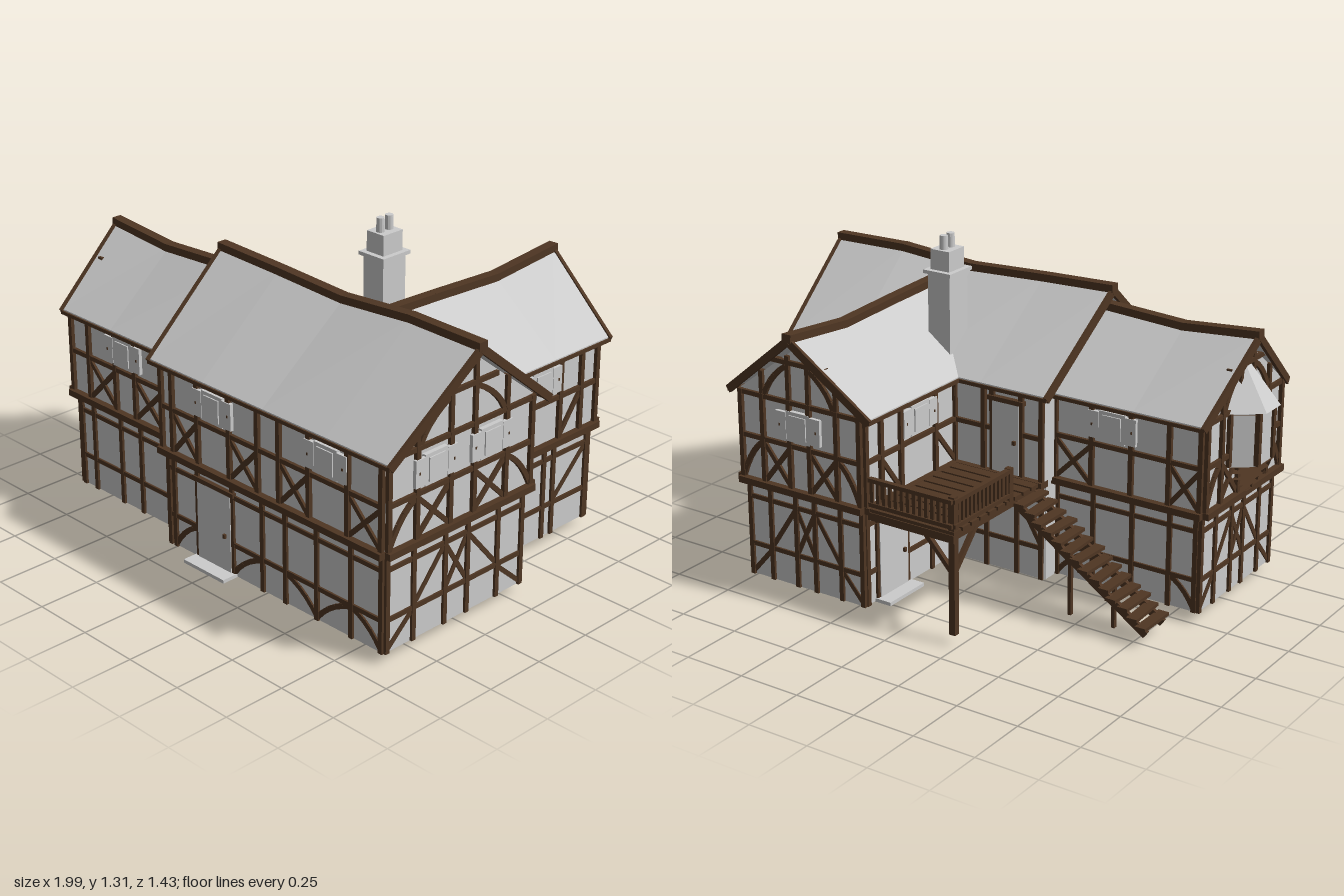
import * as THREE from 'three';

const wood = new THREE.MeshStandardMaterial({ color: 0x4f3623, flatShading: true });
const grey = new THREE.MeshStandardMaterial({ color: 0xcccccc, flatShading: true, side: THREE.DoubleSide });

function add(parent, geo, mat, name, x = 0, y = 0, z = 0) {
  const m = new THREE.Mesh(geo, mat);
  m.name = name;
  m.position.set(x, y, z);
  parent.add(m);
  return m;
}
const box = (p, mat, name, w, h, d, x, y, z) => add(p, new THREE.BoxGeometry(w, h, d), mat, name, x, y, z);

// square beam between two points in space
function beam(p, a, b, w, h, name) {
  const A = new THREE.Vector3(...a), B = new THREE.Vector3(...b);
  const m = new THREE.Mesh(new THREE.BoxGeometry(w, h, A.distanceTo(B) + w * 0.4), wood);
  m.position.copy(A).lerp(B, 0.5);
  m.lookAt(B);
  m.name = name;
  p.add(m);
}

// timber lying on a wall face: u runs along the wall, y up
function bar(g, u0, y0, u1, y1, w = 0.02, d = 0.024, name = 'timber') {
  const m = box(g, wood, name, Math.hypot(u1 - u0, y1 - y0), w, d, (u0 + u1) / 2, (y0 + y1) / 2, 0.002);
  m.rotation.z = Math.atan2(y1 - y0, u1 - u0);
}
// curved brace, bending towards (cu, cy)
function bow(g, u0, y0, cu, cy, u1, y1) {
  const pts = new THREE.QuadraticBezierCurve(new THREE.Vector2(u0, y0), new THREE.Vector2(cu, cy), new THREE.Vector2(u1, y1)).getPoints(5);
  for (let i = 0; i < 5; i++) bar(g, pts[i].x, pts[i].y, pts[i + 1].x, pts[i + 1].y, 0.02, 0.02, 'curvedBrace');
}
// one brace style per bay: x cross, / and \ diagonals, ( and ) curves
function braces(g, us, style, y0, y1) {
  [...style].forEach((c, i) => {
    const a = us[i], b = us[i + 1], ma = a * 0.4 + b * 0.6, mb = a * 0.6 + b * 0.4, t = y0 * 0.25 + y1 * 0.75;
    if (c === 'x' || c === '/') bar(g, a, y0, b, y1, 0.018, 0.018, 'brace');
    if (c === 'x' || c === '\\') bar(g, a, y1, b, y0, 0.018, 0.016, 'brace');
    if (c === '(') bow(g, a, y0, mb, t, b, y1);
    if (c === ')') bow(g, a, y1, ma, t, b, y0);
  });
}
function frame(g, us, y0, y1, rails) {
  const first = us[0], last = us[us.length - 1];
  us.forEach(u => bar(g, u, y0, u, y1, 0.019, 0.026, 'post'));
  rails.forEach(y => bar(g, first, y, last, y, 0.018, 0.022, 'rail'));
}
function upper(g, us, style) {
  frame(g, us, 0.44, 0.8, [0.62, 0.79]);
  bar(g, us[0] - 0.012, 0.438, us[us.length - 1] + 0.012, 0.438, 0.026, 0.05, 'jettyBeam');
  braces(g, us, style, 0.45, 0.61);
}
function lower(g, us, low, mid = '') {
  frame(g, us, 0.04, 0.43, [0.17, 0.365]);
  braces(g, us, low, 0.05, 0.165);
  braces(g, us, mid, 0.175, 0.36);
}
function shutteredWindow(g, u, y = 0.7) {
  box(g, grey, 'windowFrame', 0.11, 0.118, 0.024, u, y, 0.005);
  box(g, grey, 'windowPane', 0.078, 0.09, 0.008, u, y, 0.018);
  for (const s of [-1, 1]) {
    box(g, grey, 'shutter', 0.048, 0.105, 0.014, u + s * 0.079, y, 0.012);
    box(g, wood, 'shutterHole', 0.006, 0.01, 0.004, u + s * 0.085, y, 0.019);
  }
}
function door(g, u, w, y0, h, step) {
  box(g, grey, 'door', w, h, 0.024, u, y0 + h / 2, 0.006);
  bar(g, u - w / 2 - 0.02, y0 + h, u + w / 2 + 0.02, y0 + h, 0.018, 0.04, 'lintel');
  box(g, wood, 'doorKnob', 0.012, 0.016, 0.012, u + w * 0.35, y0 + h * 0.45, 0.022);
  if (step) box(g, grey, 'doorstep', w + 0.04, 0.014, 0.09, u, 0.045, 0.03);
}
// timber pattern of a whole gable end
function gable(up, down, c, h, peak, windows) {
  const k = h / 0.37, us = [-0.36, -0.225, -0.06, 0.06, 0.225, 0.36].map(o => c + o * k);
  upper(up, us, '(x.x)');
  lower(down, us.map(u => c + (u - c) * 0.96), '/...\\', './x\\');
  const slope = o => 0.82 + (peak - 0.82) * (1 - o / h);
  bar(up, c - h * 0.46, 0.945, c + h * 0.46, 0.945, 0.018, 0.022, 'collar');
  for (const s of [-1, 1]) {
    for (const o of [0.06 * k, 0.225 * k]) bar(up, c + s * o, 0.79, c + s * o, slope(o), 0.018, 0.022, 'gablePost');
    bow(up, c + s * 0.21 * k, 0.8, c + s * 0.17 * k, 0.88, c + s * 0.07 * k, 0.93);
  }
  windows.forEach(u => shutteredWindow(up, u));
}

// upper storey prism with gable ends, running along local x
function storey(p, s0, s1, h, peak) {
  const sh = new THREE.Shape([[-h, 0.44], [h, 0.44], [h, 0.8], [0, peak], [-h, 0.8]].map(a => new THREE.Vector2(...a)));
  const m = add(p, new THREE.ExtrudeGeometry(sh, { depth: s1 - s0, bevelEnabled: false }), grey, 'upperStorey', s0);
  m.rotation.y = Math.PI / 2;
}
// skin between rings of points, closed at both ends
function loft(rings) {
  const n = rings[0].length, idx = [];
  for (let i = 0; i < rings.length - 1; i++) for (let k = 0; k < n; k++) {
    const a = i * n + k, b = i * n + (k + 1) % n;
    idx.push(a, a + n, b + n, a, b + n, b);
  }
  const e = (rings.length - 1) * n;
  for (let k = 0; k < n / 2 - 1; k++) {
    const q = [k, k + 1, n - 2 - k, n - 1 - k];
    idx.push(q[0], q[1], q[2], q[0], q[2], q[3], e + q[2], e + q[1], e + q[0], e + q[3], e + q[2], e + q[0]);
  }
  const g = new THREE.BufferGeometry();
  g.setAttribute('position', new THREE.Float32BufferAttribute(rings.flat(2), 3));
  g.setIndex(idx);
  g.computeVertexNormals();
  return g;
}
// sagging roof: ridge is a list of [along, height], eaves run e0..e1
function roof(p, ridge, e0, e1, h, eave = 0.8) {
  const r0 = ridge[0][0], r1 = ridge[ridge.length - 1][0];
  const rings = ridge.map(([s, y]) => {
    const e = e0 + (e1 - e0) * (s - r0) / (r1 - r0), t = 0.018;
    return [[e, eave, h], [s, y, 0], [e, eave, -h], [e, eave - t, -h], [s, y - t, 0], [e, eave - t, h]];
  });
  add(p, loft(rings), grey, 'roof');
  for (let i = 0; i < ridge.length - 1; i++) beam(p, rings[i][1], rings[i + 1][1], 0.04, 0.03, 'ridgeBeam');
  for (const r of [rings[0], rings[rings.length - 1]]) for (const j of [0, 2])
    beam(p, [r[j][0], eave - 0.01, r[j][2]], [r[1][0], r[1][1] - 0.012, 0], 0.014, 0.03, 'bargeboard');
  for (const z of [h, -h]) beam(p, [e0, eave - 0.012, z], [e1, eave - 0.012, z], 0.014, 0.014, 'eaveBoard');
}

export function createModel() {
  const root = new THREE.Group();
  root.name = 'timberFramedHouse';
  const sub = (name, x = 0, y = 0, z = 0, ry = 0) => {
    const g = new THREE.Group();
    g.name = name; g.position.set(x, y, z); g.rotation.y = ry;
    root.add(g);
    return g;
  };
  const Q = Math.PI / 2;
  // wall faces; u = x (front), -z (right), -x (back), z (left)
  const front = z => sub('frontWall', 0, 0, z), back = z => sub('backWall', 0, 0, z, Math.PI);
  const right = x => sub('rightWall', x, 0, 0, Q), left = x => sub('leftWall', x, 0, 0, -Q);

  // ground floor shell, open underneath
  const plan = [[-0.86, 0.56], [-0.24, 0.56], [-0.24, 0.64], [0.88, 0.64], [0.88, -0.06], [0.71, -0.06],
    [0.71, -0.63], [0.18, -0.63], [0.18, -0.06], [-0.24, -0.06], [-0.24, 0.02], [-0.86, 0.02]];
  plan.forEach(([x, z], i) => {
    const [X, Z] = plan[(i + 1) % plan.length];
    const m = box(root, grey, 'groundFloorWall', Math.hypot(X - x, Z - z), 0.4, 0.01, (x + X) / 2, 0.24, (z + Z) / 2);
    m.rotation.y = Math.atan2(z - Z, X - x);
  });

  // upper storeys and roofs
  const main = sub('mainRange', 0, 0, 0.29), side = sub('sideRange', 0, 0, 0.29), wing = sub('backWing', 0.445, 0, 0, Q);
  storey(main, -0.25, 0.9, 0.37, 1.09);
  roof(main, [[-0.31, 1.125], [0, 1.115], [0.33, 1.1], [0.66, 1.125], [0.98, 1.12]], -0.275, 0.95, 0.4);
  storey(side, -0.88, -0.24, 0.29, 1.02);
  roof(side, [[-0.93, 1.06], [-0.62, 1.035], [-0.25, 1.055]], -0.89, -0.25, 0.32, 0.79);
  storey(wing, -0.1, 0.65, 0.285, 1.01);
  roof(wing, [[-0.25, 1.055], [0.05, 1.045], [0.38, 1.03], [0.705, 1.06]], -0.25, 0.665, 0.325);

  // front, main range
  let up = front(0.66), low = front(0.64);
  upper(up, [-0.24, -0.18, -0.04, 0.13, 0.28, 0.39, 0.54, 0.73, 0.89], '.x.x.x.x');
  shutteredWindow(up, 0.05);
  shutteredWindow(up, 0.63);
  lower(low, [-0.23, -0.2, -0.07, 0.12, 0.28, 0.4, 0.56, 0.73, 0.875], '.(.(.)()');
  door(low, 0.025, 0.18, 0.05, 0.325, true);
  // front, side range
  up = front(0.58); low = front(0.56);
  upper(up, [-0.87, -0.765, -0.605, -0.49, -0.33, -0.25], '.x.x.');
  shutteredWindow(up, -0.55);
  lower(low, [-0.85, -0.775, -0.61, -0.49, -0.33, -0.25], '');

  // gable ends
  gable(right(0.9), right(0.88), -0.29, 0.37, 1.08, [-0.43, -0.15]);
  gable(left(-0.88), left(-0.86), 0.29, 0.29, 1.0, []);
  gable(back(-0.65), back(-0.63), -0.445, 0.285, 1.0, [-0.445]);

  // long walls of the back wing
  up = right(0.73); low = right(0.71);
  upper(up, [0.085, 0.215, 0.43, 0.55, 0.64], '/./.');
  shutteredWindow(up, 0.32);
  lower(low, [0.095, 0.22, 0.375, 0.43, 0.62], '', '/../');
  up = left(0.16); low = left(0.18);
  upper(up, [-0.64, -0.55, -0.43, -0.215, -0.085], '.\\.\\');
  shutteredWindow(up, -0.32);
  lower(low, [-0.62, -0.56, -0.38, -0.22, -0.08], '', '..\\\\');
  door(low, -0.47, 0.17, 0.05, 0.32, true);

  // back walls of main and side ranges
  up = back(-0.08); low = back(-0.06);
  upper(up, [-0.16, -0.02, 0.02, 0.15, 0.24], '');
  door(up, 0.085, 0.12, 0.455, 0.29, false);
  lower(low, [-0.18, -0.02, 0.12, 0.23], '', '/.\\');
  upper(up, [-0.89, -0.74], '/');
  lower(low, [-0.87, -0.72], '', '/');
  up = back(0); low = back(0.02);
  upper(up, [0.25, 0.41, 0.58, 0.74, 0.87], 'x..x');
  shutteredWindow(up, 0.5);
  lower(low, [0.25, 0.41, 0.58, 0.74, 0.85], '(..)');

  // oriel window on the left gable
  const oriel = sub('orielWindow', -0.88, 0, 0.29, -Q);
  const ring = (w, f, d, y) => [[-w, y, 0], [-f, y, d], [f, y, d], [w, y, 0]];
  const solid = (name, mat, ...r) => add(oriel, loft(r.map(a => ring(...a).reverse()).reverse()), mat, name);
  solid('orielBody', grey, [0.12, 0.055, 0.09, 0.57], [0.12, 0.055, 0.09, 0.79]);
  solid('orielRoof', grey, [0.15, 0.055, 0.12, 0.785], [0.03, 0.01, 0.005, 0.935]);
  for (const [y, t] of [[0.57, 0.05], [0.775, 0.015]]) solid('orielRail', wood, [0.126, 0.06, 0.098, y], [0.126, 0.06, 0.098, y + t]);
  for (let i = 0; i < 4; i++) {
    const s = 1 - i * 0.2, y = 0.57 - i * 0.03;
    solid('orielCorbel', wood, [0.11 * s, 0.05 * s, 0.085 * s, y - 0.03], [0.12 * s, 0.055 * s, 0.095 * s, y]);
  }
  for (const [u, d] of [[-0.12, 0.005], [-0.055, 0.09], [0.055, 0.09], [0.12, 0.005]]) box(oriel, wood, 'orielPost', 0.02, 0.21, 0.02, u, 0.68, d);

  // chimney
  const chimney = sub('chimney', 0.247, 0, 0.003);
  box(chimney, grey, 'stack', 0.1, 0.42, 0.115, 0, 0.96, 0);
  box(chimney, grey, 'stackLedge', 0.125, 0.014, 0.14, 0, 1.172, 0);
  box(chimney, grey, 'stackTop', 0.085, 0.08, 0.098, 0, 1.218, 0);
  for (const z of [-0.022, 0.022]) add(chimney, new THREE.CylinderGeometry(0.015, 0.017, 0.06, 12), grey, 'chimneyPot', 0, 1.282, z);

  // balcony with railings
  const deck = sub('balcony');
  for (let i = 0; i < 10; i++) box(deck, wood, 'deckBoard', 0.38, 0.014, 0.044, -0.05, 0.443, -0.625 + i * 0.055);
  for (const x of [-0.22, -0.04, 0.13]) box(deck, wood, 'joist', 0.022, 0.026, 0.55, x, 0.423, -0.37);
  box(deck, wood, 'edgeBeam', 0.38, 0.03, 0.022, -0.05, 0.422, -0.64);
  box(deck, wood, 'balconyPost', 0.026, 0.54, 0.026, -0.225, 0.31, -0.63);
  beam(deck, [-0.225, 0.28, -0.63], [-0.1, 0.415, -0.63], 0.018, 0.018, 'balconyBrace');
  beam(deck, [-0.225, 0.28, -0.63], [-0.225, 0.415, -0.5], 0.018, 0.018, 'balconyBrace');
  box(deck, wood, 'railPost', 0.024, 0.13, 0.024, -0.232, 0.51, -0.29);
  for (const y of [0.47, 0.565]) {
    box(deck, wood, 'handrail', 0.37, 0.016, 0.02, -0.05, y, -0.645);
    box(deck, wood, 'handrail', 0.02, 0.016, 0.36, -0.235, y, -0.465);
  }
  for (let i = 0; i < 13; i++) {
    box(deck, wood, 'baluster', 0.014, 0.1, 0.01, -0.2 + i * 0.027, 0.515, -0.645);
    box(deck, wood, 'baluster', 0.01, 0.1, 0.014, -0.235, 0.515, -0.61 + i * 0.025);
  }

  // outside stairs
  const stairs = sub('stairs');
  for (const z of [-0.25, -0.13]) beam(stairs, [-0.24, 0.42, z], [-0.8, 0.045, z], 0.016, 0.03, 'stringer');
  for (let i = 0; i < 14; i++) {
    const tread = box(stairs, wood, 'tread', 0.044, 0.013, 0.17, -0.265 - i * 0.0405, 0.425 - i * 0.0272, -0.19 + 0.006 * Math.sin(i * 2.4));
    tread.rotation.y = 0.05 * Math.sin(i * 1.7);
  }
  for (const [x, h] of [[-0.44, 0.29], [-0.63, 0.16]]) box(stairs, wood, 'stairSupport', 0.014, h, 0.016, x, h / 2, -0.19);
  return root;
}
